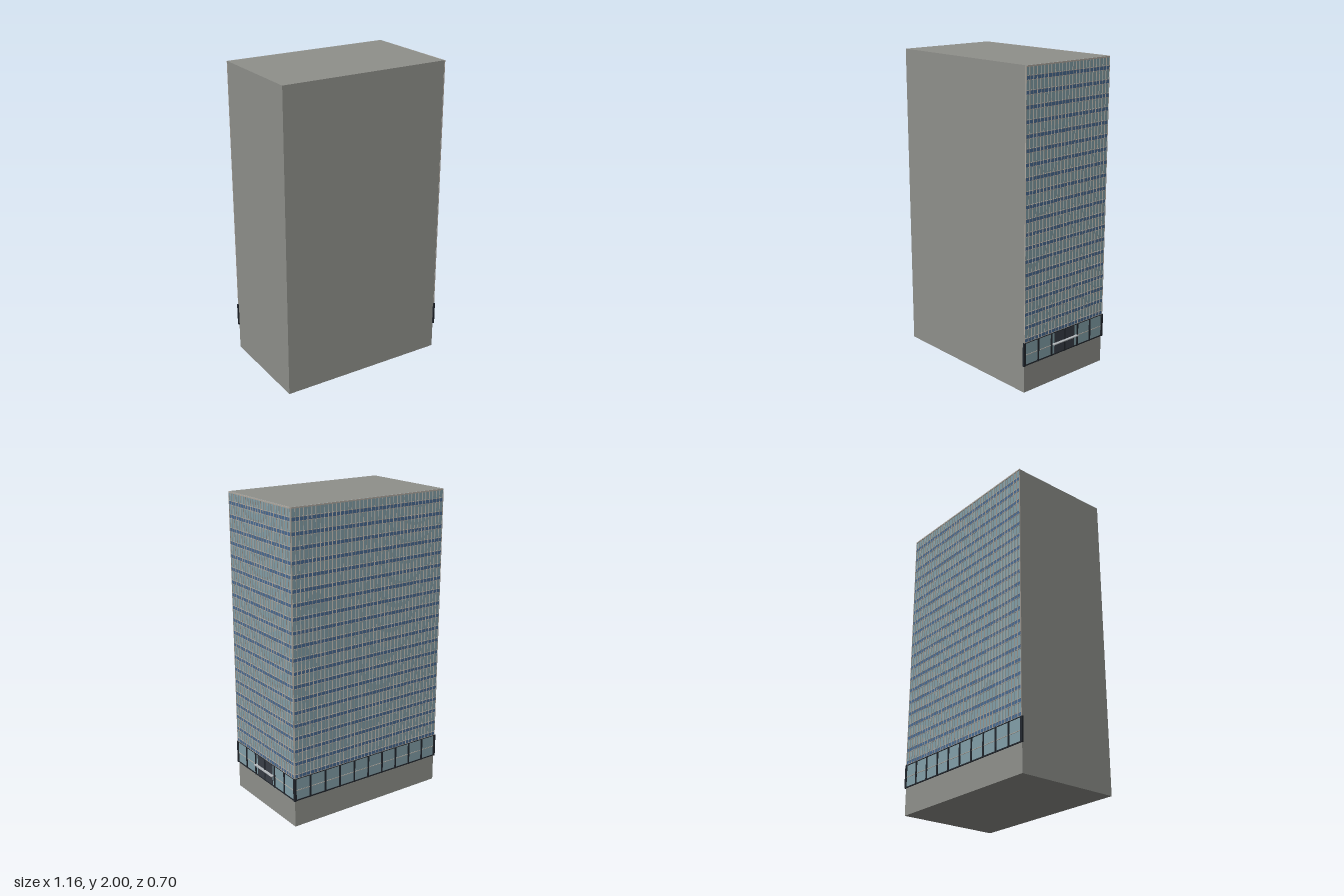
import * as THREE from 'three';
import { mergeGeometries } from 'three/addons/utils/BufferGeometryUtils.js';

const mat = (name, color) => Object.assign(new THREE.MeshStandardMaterial({ color }), { name });

const BASE = 0.18, LOBBY_TOP = 0.33, TOP = 2, FLOORS = 20;
const X0 = -0.574, X1 = 0.555, Z = 0.343;

// Box given by its extents
function block(x0, x1, y0, y1, z0, z1) {
  return new THREE.BoxGeometry(x1 - x0, y1 - y0, z1 - z0)
    .translate((x0 + x1) / 2, (y0 + y1) / 2, (z0 + z1) / 2);
}

export function createModel() {
  const concrete = mat('concrete', 0x8f908b);
  const glass = mat('glass', 0x829fa8);
  const spandrelBlue = mat('spandrel blue', 0x486a92);
  const frame = mat('window frame', 0xb0aaa2);
  const darkMetal = mat('dark metal', 0x22272e);
  const doorGlass = mat('door glass', 0x383d46);
  const canopyMetal = mat('canopy metal', 0xb4b8bc);

  const add = (group, name, material, ...geos) => {
    const mesh = new THREE.Mesh(geos.length > 1 ? mergeGeometries(geos) : geos[0], material);
    mesh.name = name;
    group.add(mesh);
  };

  // Curtain wall in its own frame: x along the wall, z outward from the core
  function curtainWall(name, width, bays) {
    const wall = new THREE.Group();
    wall.name = name;
    const h = width / 2, floor = (TOP - LOBBY_TOP) / FLOORS, step = width / (bays * 4);
    const spandrels = [], rails = [], mullions = [], columns = [];

    for (let i = 0; i < FLOORS; i++) {
      const y = LOBBY_TOP + i * floor;
      spandrels.push(block(-h, h, y, y + 0.025, 0, 0.0035));
      for (const r of [y + 0.001, y + 0.026]) rails.push(block(-h, h, r - 0.0015, r + 0.0015, 0, 0.005));
    }
    rails.push(block(-h, h, TOP - 0.009, TOP, 0, 0.006));
    for (let i = 0; i <= bays * 4; i++) {
      const x = -h + i * step;
      mullions.push(block(x - 0.0015, x + 0.0015, LOBBY_TOP, TOP, 0, 0.006));
    }
    // Lobby columns, wider at the corners
    for (let i = 0; i <= bays; i++) {
      const x = -h + i * width / bays;
      const w = i === 0 || i === bays ? 0.008 : 0.0055;
      columns.push(block(x - w, x + w, BASE - 0.003, LOBBY_TOP, -0.004, 0.0075));
    }
    add(wall, 'glazing', glass, block(-h, h, BASE, TOP, 0, 0.002));
    add(wall, 'spandrels', spandrelBlue, ...spandrels);
    add(wall, 'rails', frame, ...rails);
    add(wall, 'mullions', frame, ...mullions);
    add(wall, 'lobbyColumns', darkMetal, ...columns);
    add(wall, 'lobbySillAndHead', darkMetal,
      block(-h, h, BASE - 0.003, BASE + 0.005, 0, 0.005),
      block(-h, h, LOBBY_TOP - 0.005, LOBBY_TOP, 0, 0.0055));
    add(wall, 'lobbyTransom', frame, block(-h, h, 0.246, 0.25, 0, 0.005));
    return wall;
  }

  const model = new THREE.Group();
  model.name = 'tower';
  add(model, 'core', concrete, block(X0, X1, 0, TOP, -Z, Z));

  const side = curtainWall('sideCurtainWall', Z * 2, 6);
  side.rotation.y = Math.PI / 2;
  side.position.x = X1;
  const back = curtainWall('backCurtainWall', X1 - X0, 10);
  back.rotation.y = Math.PI;
  back.position.set((X0 + X1) / 2, 0, -Z);

  // Entrance doors and canopy on the side wall
  add(side, 'doors', doorGlass, block(-0.088, 0.088, BASE + 0.005, LOBBY_TOP - 0.005, 0, 0.0045));
  add(side, 'canopy', canopyMetal, block(-0.108, 0.108, 0.25, 0.256, 0.001, 0.022));
  model.add(side, back);
  return model;
}
